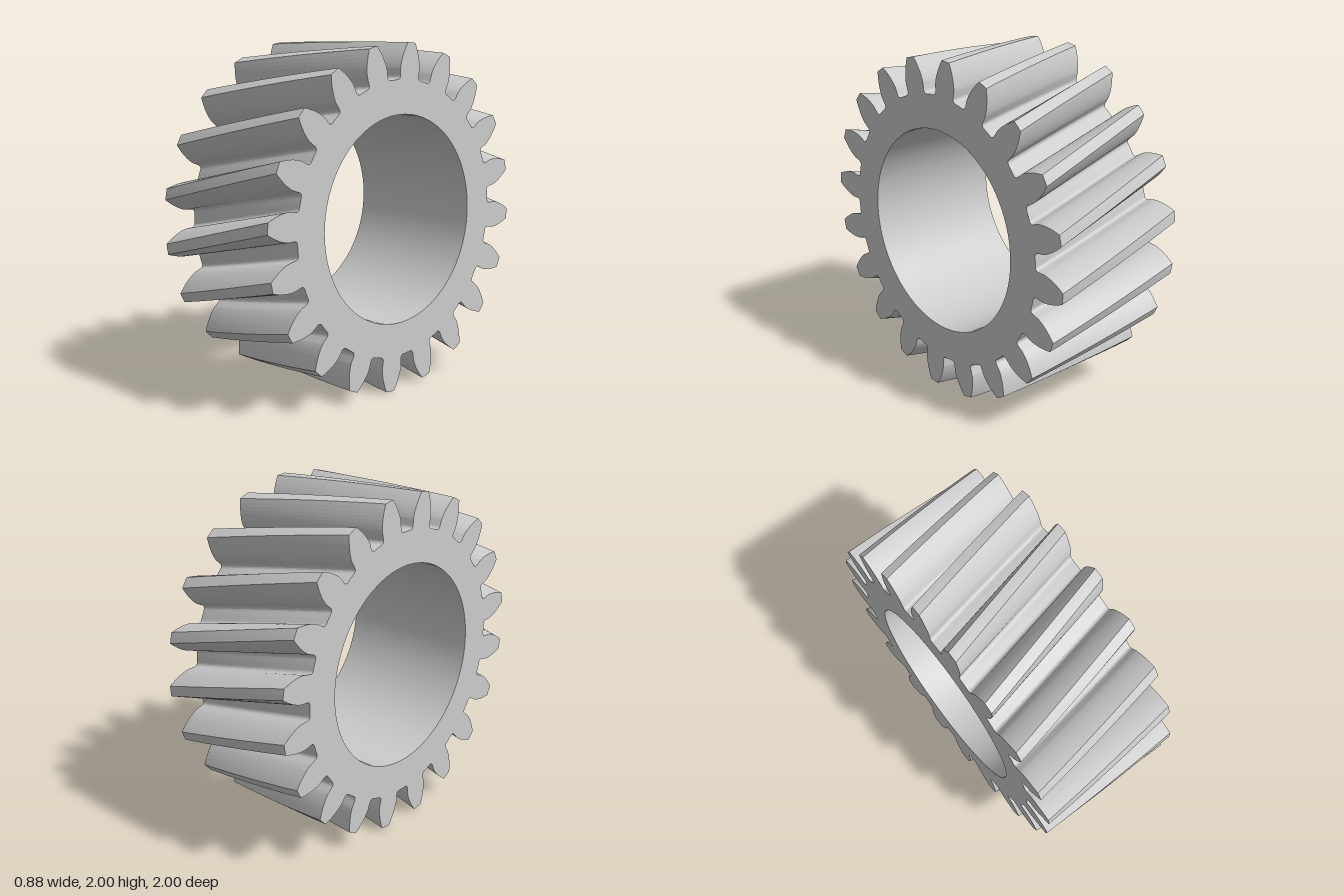
import * as THREE from 'three';

const TEETH = 20, TIP = 1, ROOT = 0.795, BORE = 0.6, WIDTH = 0.875;
const MODULE = 2 / (TEETH + 2), PITCH = MODULE * TEETH / 2;
const BASE = PITCH * Math.cos(THREE.MathUtils.degToRad(20));
const TWIST = THREE.MathUtils.degToRad(13.3);
const PHASE = THREE.MathUtils.degToRad(-4.5);
const FILLET = 0.02;

// involute function at a given radius
function inv(r) {
  const a = Math.acos(Math.min(1, BASE / r));
  return Math.tan(a) - a;
}

// one side of a tooth, root to tip, as [radius, half angle]
function toothFlank() {
  const pts = [];
  const baseHalf = Math.PI / (2 * TEETH) + inv(PITCH);
  for (let i = 0; i <= 4; i++) {
    const t = (i / 4) * Math.PI / 2;
    pts.push([ROOT + FILLET * (1 - Math.cos(t)), baseHalf + FILLET * (1 - Math.sin(t)) / ROOT]);
  }
  for (let i = 0; i <= 9; i++) {
    const r = BASE + (TIP - BASE) * (i / 9) ** 1.3;
    pts.push([r, baseHalf - inv(r)]);
  }
  return pts;
}

function gearShape() {
  const flank = toothFlank(), pts = [];
  const add = (r, a) => pts.push(new THREE.Vector2(r * Math.cos(a), r * Math.sin(a)));
  for (let k = 0; k < TEETH; k++) {
    const c = PHASE + k * 2 * Math.PI / TEETH;
    add(ROOT, c - Math.PI / TEETH); // middle of the gap
    flank.forEach(([r, h]) => add(r, c - h));
    add(TIP, c);
    [...flank].reverse().forEach(([r, h]) => add(r, c + h));
  }
  const shape = new THREE.Shape(pts);
  shape.holes.push(new THREE.Path().absarc(0, 0, BORE, 0, Math.PI * 2, true));
  return shape;
}

export function createModel() {
  const group = new THREE.Group();
  group.name = 'helicalGear';

  // toothed ring, extruded straight and then twisted along its axis
  const geo = new THREE.ExtrudeGeometry(gearShape(), {
    depth: WIDTH, steps: 20, bevelEnabled: false, curveSegments: 72,
  });
  const p = geo.attributes.position;
  for (let i = 0; i < p.count; i++) {
    const a = TWIST * (1 - p.getZ(i) / WIDTH);
    const x = p.getX(i), y = p.getY(i), c = Math.cos(a), s = Math.sin(a);
    p.setXY(i, x * c - y * s, x * s + y * c);
  }
  geo.computeVertexNormals();

  // axis along x, resting on the ground
  geo.translate(0, 0, -WIDTH / 2);
  geo.rotateY(Math.PI / 2);
  geo.translate(0, TIP, 0);

  const gear = new THREE.Mesh(geo, new THREE.MeshStandardMaterial({ color: 0xcccccc }));
  gear.name = 'toothedRing';
  group.add(gear);
  return group;
}
